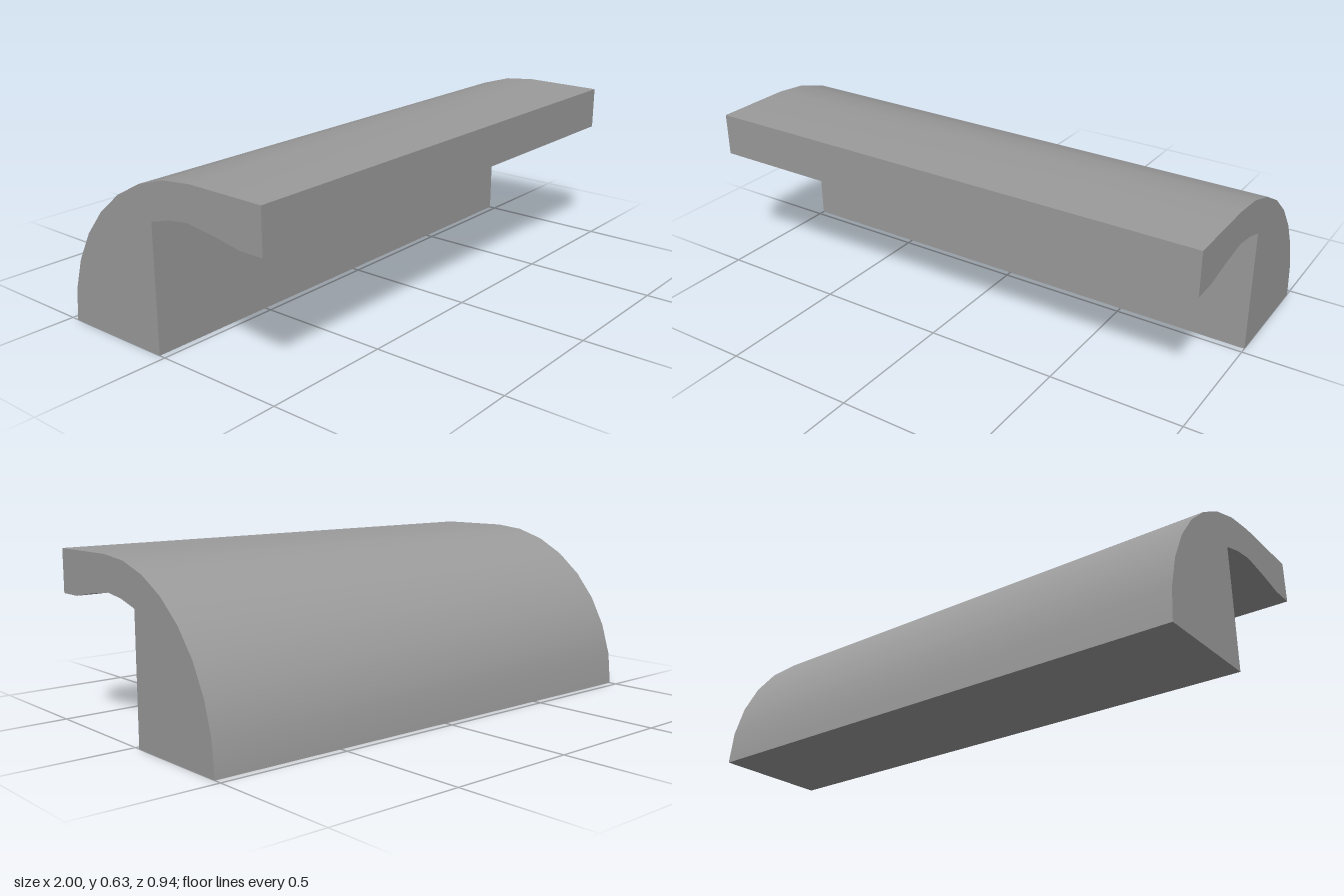
import * as THREE from 'three';
import { toCreasedNormals } from 'three/addons/utils/BufferGeometryUtils.js';

const RADIUS = 0.635;
const ARC_CENTRE_Z = 0.165;
const ARC_STEPS = 8;

// Side profile as [z, y], running up the curved back, over the lip and down the inner wall
function sideProfile() {
  const points = [];
  // quarter-round back
  for (let i = 0; i <= ARC_STEPS; i++) {
    const angle = (i / ARC_STEPS) * Math.PI / 2;
    points.push([ARC_CENTRE_Z - RADIUS * Math.cos(angle), RADIUS * Math.sin(angle)]);
  }
  points.push(
    // front edge of the lip
    [0.47, 0.633], [0.47, 0.471],
    // hollow underside
    [0.375, 0.471], [0.265, 0.491], [0.145, 0.506], [0.06, 0.495], [-0.025, 0.471],
    // foot of the inner wall
    [-0.025, 0]
  );
  return points;
}

export function createModel() {
  const group = new THREE.Group();
  group.name = 'curvedMoulding';

  // Extrude along the length, then turn the length onto x
  const shape = new THREE.Shape(sideProfile().map(([z, y]) => new THREE.Vector2(-z, y)));
  const extruded = new THREE.ExtrudeGeometry(shape, { depth: 2, bevelEnabled: false });
  extruded.translate(0, 0, -1).rotateY(Math.PI / 2);

  const moulding = new THREE.Mesh(
    toCreasedNormals(extruded, Math.PI / 6),
    new THREE.MeshStandardMaterial({ color: 0x9b9b9b })
  );
  moulding.name = 'moulding';
  group.add(moulding);
  return group;
}
